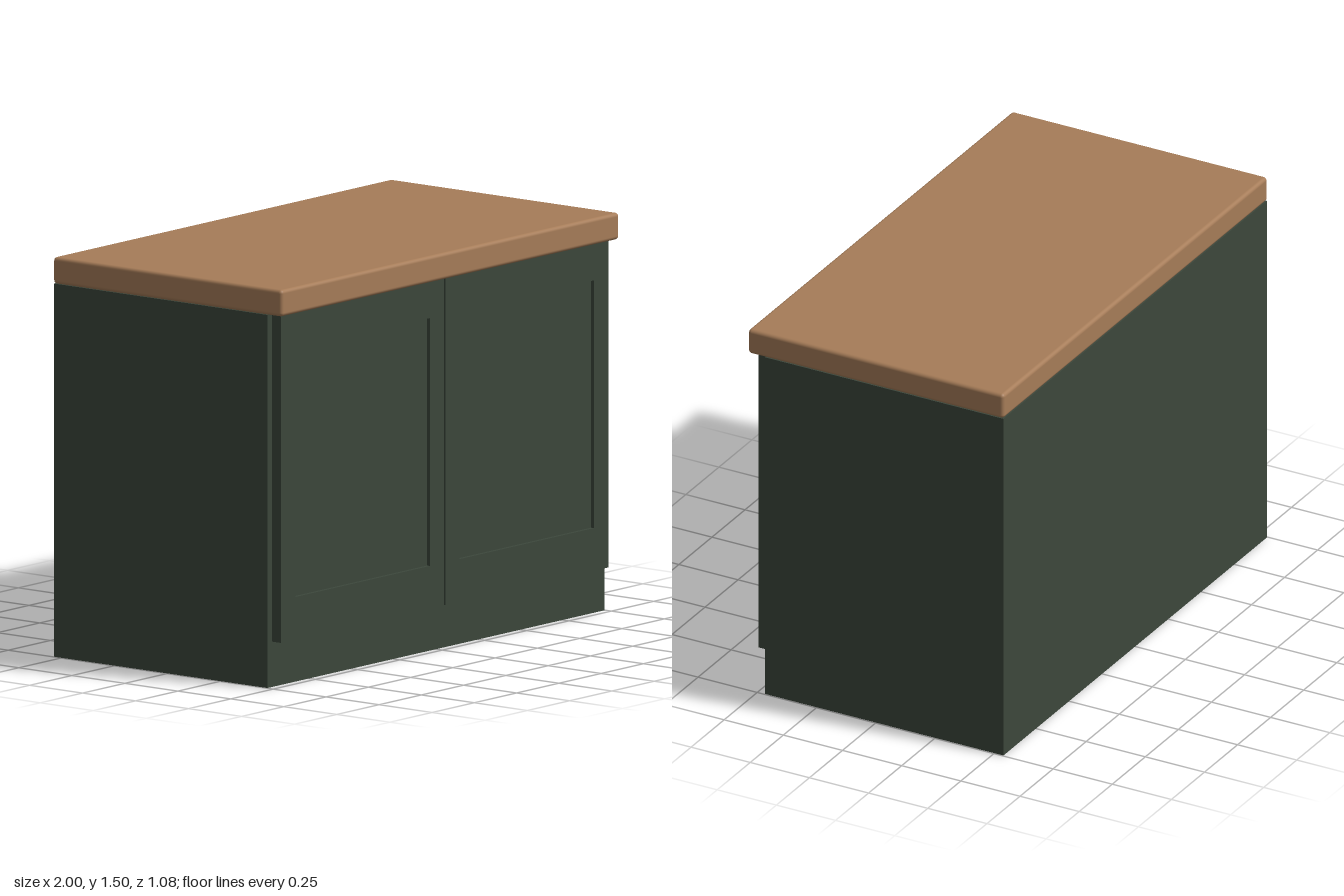
import * as THREE from 'three';
import { RoundedBoxGeometry } from 'three/addons/geometries/RoundedBoxGeometry.js';

const wood = new THREE.MeshStandardMaterial({ name: 'wood', color: 0xa67c58 });
const green = new THREE.MeshStandardMaterial({ name: 'darkGreenPaint', color: 0x3c473b });

// Box given by its lower and upper limits on each axis
function box(name, material, [x0, x1], [y0, y1], [z0, z1]) {
  const mesh = new THREE.Mesh(new THREE.BoxGeometry(x1 - x0, y1 - y0, z1 - z0), material);
  mesh.position.set((x0 + x1) / 2, (y0 + y1) / 2, (z0 + z1) / 2);
  mesh.name = name;
  return mesh;
}

function rectangle(path, x0, x1, y0, y1) {
  path.moveTo(x0, y0).lineTo(x1, y0).lineTo(x1, y1).lineTo(x0, y1).closePath();
  return path;
}

// Framed door with a recessed centre panel, spanning x = inner..outer on one side
function createDoor(side) {
  const door = new THREE.Group();
  const span = (a, b) => (side > 0 ? [a, b] : [-b, -a]);
  const outer = span(0.004, 0.968);
  const inner = span(0.088, 0.882);

  const shape = rectangle(new THREE.Shape(), ...outer, 0.17, 1.4);
  shape.holes.push(rectangle(new THREE.Path(), ...inner, 0.33, 1.26));
  const frame = new THREE.Mesh(
    new THREE.ExtrudeGeometry(shape, { depth: 0.042, bevelEnabled: false }), green);
  frame.position.z = 0.47;
  frame.name = 'doorFrame';

  door.add(frame, box('doorPanel', green, inner, [0.33, 1.26], [0.47, 0.498]));
  door.name = side > 0 ? 'leftDoor' : 'rightDoor';
  return door;
}

export function createModel() {
  const cabinet = new THREE.Group();
  cabinet.name = 'cabinet';

  // Cabinet body; its lower front forms the toe kick below the doors
  cabinet.add(box('carcass', green, [-0.996, 0.996], [0, 1.4], [-0.538, 0.47]));

  for (const side of [-1, 1]) cabinet.add(createDoor(side));

  // Wooden worktop with softened edges
  const worktop = new THREE.Mesh(new RoundedBoxGeometry(2, 0.1, 1.08, 3, 0.014), wood);
  worktop.position.y = 1.45;
  worktop.name = 'worktop';
  cabinet.add(worktop);

  return cabinet;
}
